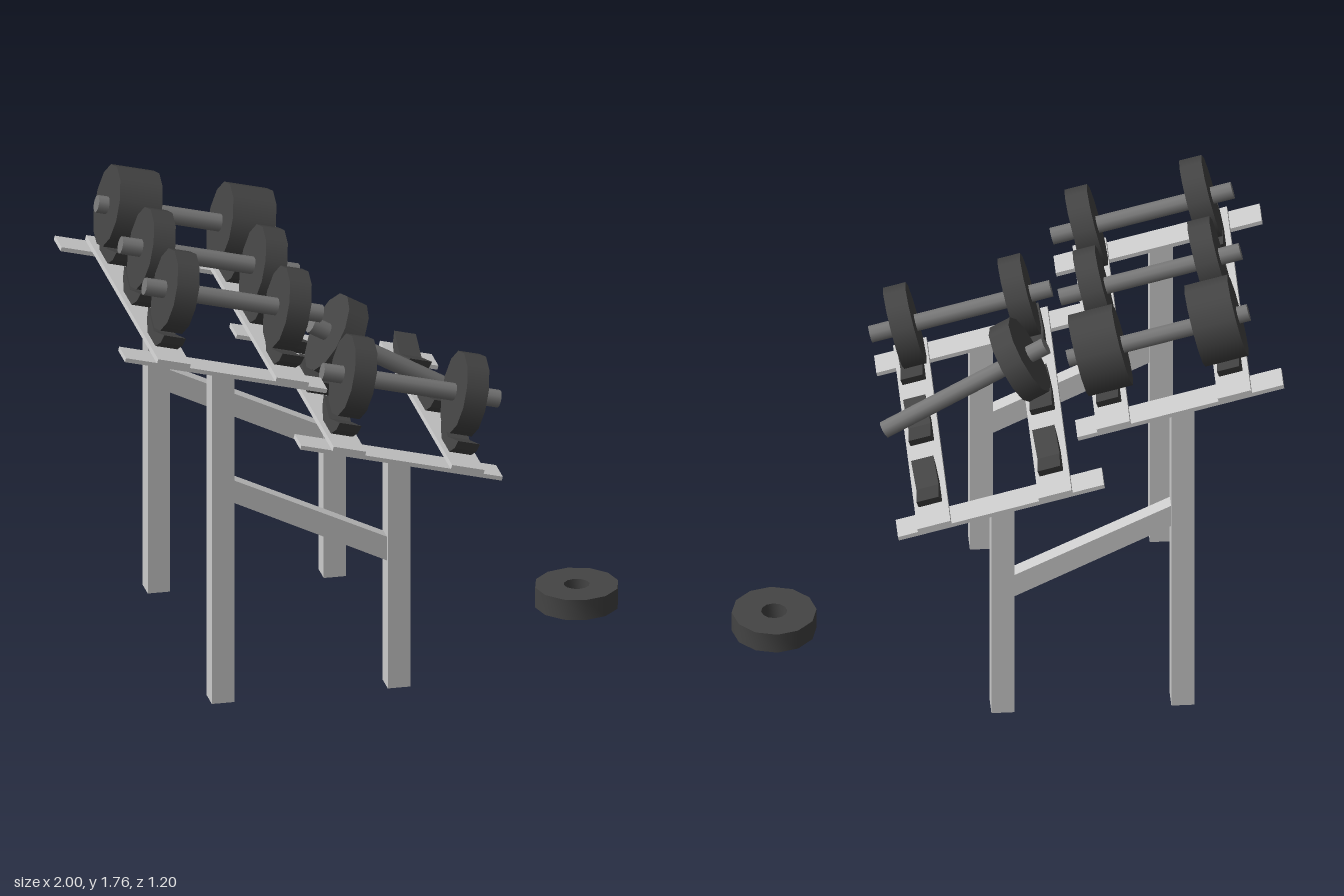
import * as THREE from 'three';
import { toCreasedNormals } from 'three/addons/utils/BufferGeometryUtils.js';

const TILT = 14.4 * Math.PI / 180;
const ROWS = [0.4, 0, -0.4];
const SLATS = [-0.21, 0.252];
const PLATE_R = 0.155, PLATE_T = 0.085;

const frameMat = new THREE.MeshStandardMaterial({ color: 0xcccccc });
const rodMat = new THREE.MeshStandardMaterial({ color: 0x777777 });
const ironMat = new THREE.MeshStandardMaterial({ color: 0x444444 });

function add(parent, name, geometry, material, x = 0, y = 0, z = 0) {
  const mesh = new THREE.Mesh(geometry, material);
  mesh.name = name;
  mesh.position.set(x, y, z);
  parent.add(mesh);
  return mesh;
}

// Polygon prism in the x-y plane, centred on z
function prism(points, depth) {
  const shape = new THREE.Shape(points.map(([x, y]) => new THREE.Vector2(x, y)));
  return new THREE.ExtrudeGeometry(shape, { depth, bevelEnabled: false }).translate(0, 0, -depth / 2);
}

// V-shaped saddle that a plate rests in
const cradleGeo = prism(
  [[-0.135, 0.072], [-0.115, 0.035], [-0.065, 0], [0.065, 0], [0.115, 0.035], [0.135, 0.072], [0, 0.034]], 0.085
).rotateY(Math.PI / 2);
const plateGeo = new THREE.CylinderGeometry(PLATE_R, PLATE_R, PLATE_T, 12).rotateZ(Math.PI / 2);
const rodGeo = new THREE.CylinderGeometry(0.033, 0.033, 0.69, 10).rotateZ(Math.PI / 2);

// Tilted shelf: two side boards, two cross slats, six cradles
function shelf(name, x, y) {
  const g = new THREE.Group();
  g.name = name;
  g.position.set(x, y, 0);
  g.rotation.z = -TILT;
  for (const s of [1, -1]) {
    add(g, 'sideBoard', new THREE.BoxGeometry(0.786, 0.016, 0.113), frameMat, 0, 0, s * 0.5375);
  }
  for (const sx of SLATS) {
    add(g, 'crossSlat', new THREE.BoxGeometry(0.127, 0.018, 1.204), frameMat, sx, 0.017, 0);
    for (const z of ROWS) add(g, 'cradle', cradleGeo, ironMat, sx, 0.026, z);
  }
  return g;
}

// Bar with plates at the given distances along it
function dumbbell(x, y, z, offsets, tilt = TILT) {
  const g = new THREE.Group();
  g.name = 'dumbbell';
  g.position.set(x, y, z);
  g.rotation.z = -tilt;
  add(g, 'bar', rodGeo, rodMat);
  for (const o of offsets) add(g, 'plate', plateGeo, ironMat, o);
  return g;
}

// Upright with its top cut to the slope of the shelf
function leg(x0, x1, topLeft) {
  const topRight = topLeft - (x1 - x0) * Math.tan(TILT);
  return prism([[x0, 0], [x1, 0], [x1, topRight], [x0, topLeft]], 0.09);
}

export function createModel() {
  const model = new THREE.Group();
  model.name = 'dumbbellRack';

  // Side frames
  for (const s of [1, -1]) {
    const side = new THREE.Group();
    side.name = s > 0 ? 'frontFrame' : 'backFrame';
    side.position.z = s * 0.535;
    add(side, 'tallLeg', leg(-0.668, -0.583, 1.32), frameMat);
    add(side, 'shortLeg', leg(-0.003, 0.082, 0.907), frameMat);
    add(side, 'brace', prism([[-0.59, 0.795], [0, 0.505], [0, 0.6], [-0.59, 0.885]], 0.06), frameMat);
    model.add(side);
  }

  model.add(shelf('upperShelf', -0.617, 1.315), shelf('lowerShelf', 0.046, 0.903));

  // Dumbbells, one of them missing a plate and tipped over
  const single = [-0.224, 0.213];
  model.add(
    dumbbell(-0.548, 1.532, ROWS[0], single),
    dumbbell(-0.548, 1.532, ROWS[1], single),
    dumbbell(-0.548, 1.532, ROWS[2], [-0.262, -0.182, 0.179, 0.262]),
    dumbbell(0.123, 1.128, ROWS[0], single),
    dumbbell(0.136, 1.06, ROWS[1], [-0.232], Math.PI / 6)
  );

  // Loose plate with its open centre hole
  const ring = [[0.048, -0.04], [0.157, -0.04], [0.157, 0.04], [0.048, 0.04], [0.048, -0.04]]
    .map(([r, y]) => new THREE.Vector2(r, y));
  add(model, 'loosePlate', toCreasedNormals(new THREE.LatheGeometry(ring, 12), 0.7), ironMat, 0.842, 0.06, 0);

  return model;
}
